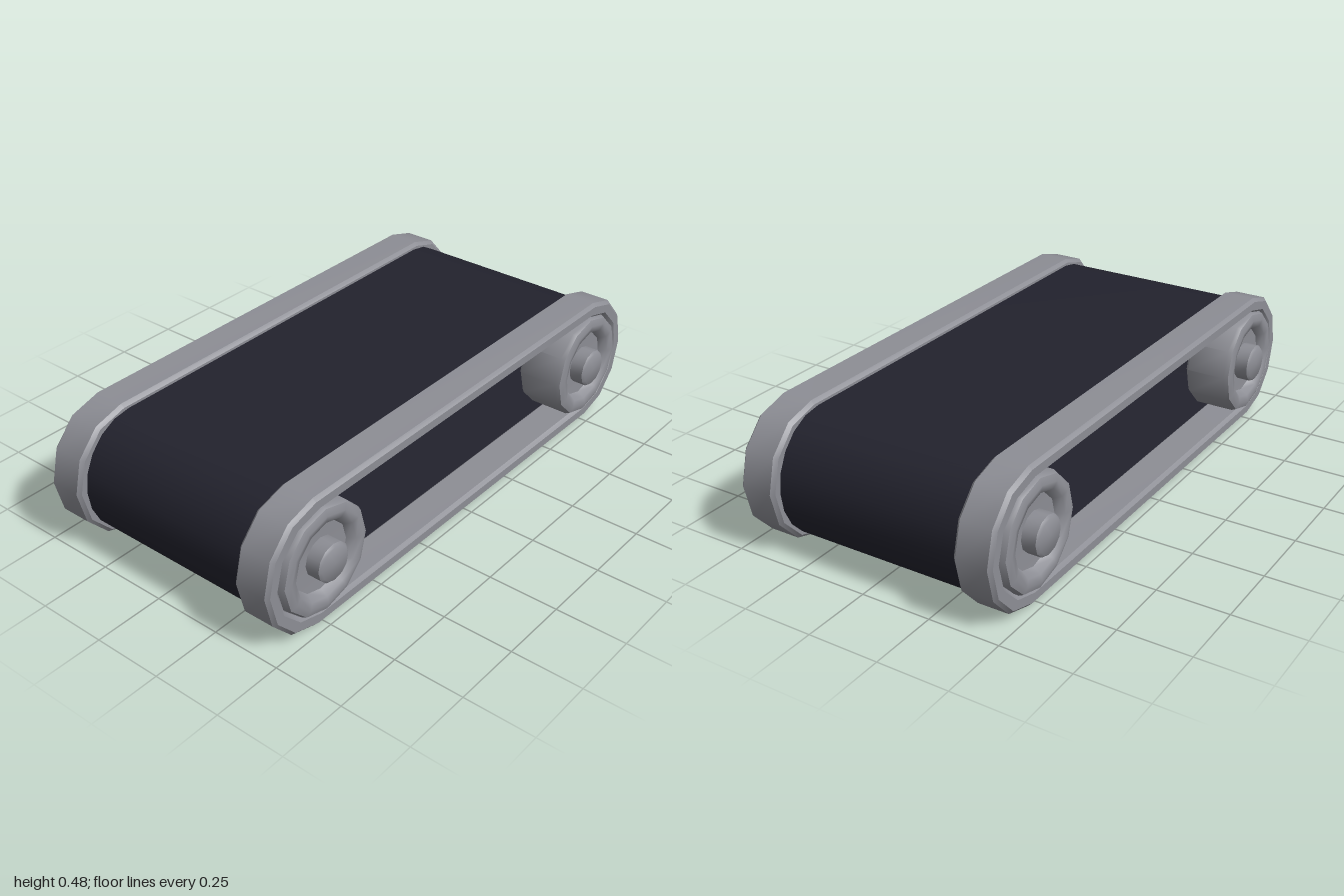
import * as THREE from 'three';
import { toCreasedNormals } from 'three/addons/utils/BufferGeometryUtils.js';

const CENTER_Y = 0.24;

// Loop of two straight runs and two faceted round ends
function loopPoints(straight, endReach, halfHeight, segments) {
  const points = [];
  for (const side of [1, -1]) {
    for (let i = 0; i <= segments; i++) {
      const a = -Math.PI / 2 + (Math.PI * i) / segments;
      points.push(new THREE.Vector2(
        side * (straight + endReach * Math.cos(a)),
        side * halfHeight * Math.sin(a)
      ));
    }
  }
  return points;
}

// Hollow loop extruded along z and centred on z = 0
function loopBand(outer, inner, width, bevel) {
  const shape = new THREE.Shape(outer);
  shape.holes.push(new THREE.Path(inner));
  const geometry = new THREE.ExtrudeGeometry(shape, {
    depth: width - 2 * bevel,
    bevelEnabled: bevel > 0,
    bevelThickness: bevel,
    bevelSize: bevel,
    bevelOffset: -bevel,
    bevelSegments: 1,
  });
  geometry.translate(0, 0, -width / 2 + bevel);
  return toCreasedNormals(geometry, 0.7);
}

export function createModel() {
  const group = new THREE.Group();
  const grey = new THREE.MeshStandardMaterial({ color: 0x8d8e95 });
  grey.name = 'steel grey';
  const dark = new THREE.MeshStandardMaterial({ color: 0x22222d });
  dark.name = 'dark rubber';

  const add = (name, geometry, material, x, y, z) => {
    const mesh = new THREE.Mesh(geometry, material);
    mesh.name = name;
    mesh.position.set(x, y, z);
    group.add(mesh);
    return mesh;
  };

  // Wide rubber belt
  add('belt', loopBand(
    loopPoints(0.76, 0.205, 0.223, 10),
    loopPoints(0.76, 0.18, 0.194, 10), 0.69, 0
  ), dark, 0, CENTER_Y - 0.004, 0);

  // Side rims and rollers
  const rim = loopBand(
    loopPoints(0.78, 0.22, 0.24, 6),
    loopPoints(0.76, 0.185, 0.187, 6), 0.135, 0.012
  );

  // Roller profile: drum, rounded lip, recessed face
  const drumProfile = [
    [0, -0.09], [0.185, -0.09], [0.195, -0.08], [0.195, 0.065], [0.188, 0.08],
    [0.165, 0.088], [0.14, 0.082], [0.122, 0.055], [0, 0.05],
  ].map(([r, h]) => new THREE.Vector2(r, h));
  const drum = toCreasedNormals(new THREE.LatheGeometry(drumProfile, 12), 0.8);
  drum.rotateX(Math.PI / 2);

  // Axle hub with a softened edge
  const hubProfile = [
    [0, -0.04], [0.069, -0.04], [0.069, 0.022], [0.06, 0.03], [0, 0.032],
  ].map(([r, h]) => new THREE.Vector2(r, h));
  const hub = toCreasedNormals(new THREE.LatheGeometry(hubProfile, 12), 0.8);
  hub.rotateX(Math.PI / 2);

  for (const side of [1, -1]) {
    const face = side > 0 ? 'front' : 'back';
    add(face + 'Rim', rim, grey, 0, CENTER_Y, side * 0.4075);
    for (const end of [1, -1]) {
      const label = face + (end > 0 ? 'Left' : 'Right');
      const turn = side > 0 ? 0 : Math.PI;
      add(label + 'Roller', drum, grey, end * 0.745, CENTER_Y, side * 0.402).rotation.y = turn;
      add(label + 'Hub', hub, grey, end * 0.74, CENTER_Y, side * 0.483).rotation.y = turn;
    }
  }
  return group;
}
